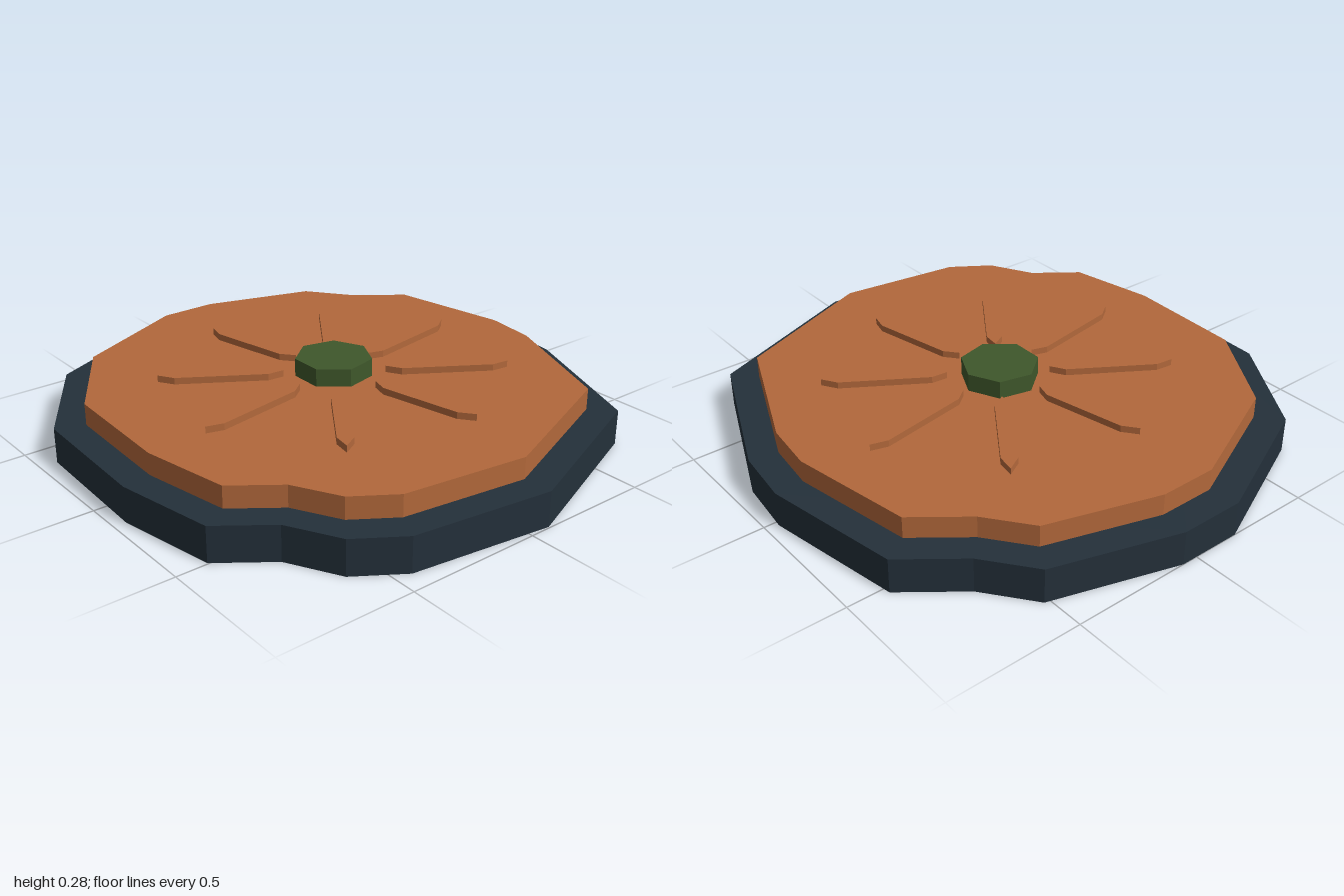
import * as THREE from 'three';

const flat = (name, color) => new THREE.MeshStandardMaterial({ name, color, flatShading: true, side: THREE.DoubleSide });

// Prism with a top and walls but an open underside; outline is a list of [x, z]
function openPrism(outline, bottom, top) {
  const shape = new THREE.Shape(outline.map(([x, z]) => new THREE.Vector2(x, -z)));
  const full = new THREE.ExtrudeGeometry(shape, { depth: top - bottom, bevelEnabled: false });
  const p = full.attributes.position.array;
  const kept = [];
  for (let i = 0; i < p.length; i += 9) {
    if (p[i + 2] + p[i + 5] + p[i + 8] > 1e-6) kept.push(...p.slice(i, i + 9));
  }
  const geo = new THREE.BufferGeometry();
  geo.setAttribute('position', new THREE.Float32BufferAttribute(kept, 3));
  geo.rotateX(-Math.PI / 2);
  geo.translate(0, bottom, 0);
  geo.computeVertexNormals();
  return geo;
}

export function createModel() {
  const model = new THREE.Group();
  const slate = flat('dark slate', 0x24303a);
  const clay = flat('orange clay', 0xb2683b);
  const green = flat('leaf green', 0x3f572b);

  const add = (name, geometry, material) => {
    const mesh = new THREE.Mesh(geometry, material);
    mesh.name = name;
    model.add(mesh);
    return mesh;
  };

  // Irregular outline shared by the base and the smaller slab
  const rim = [
    [-0.18, -1], [0.06, -1], [0.52, -0.86], [0.655, -0.685], [0.86, -0.525], [0.955, -0.02],
    [0.93, 0.2], [0.705, 0.745], [0.08, 0.995], [-0.44, 0.925], [-0.605, 0.815], [-0.705, 0.63],
    [-0.885, 0.495], [-0.955, 0.13], [-0.935, -0.38], [-0.68, -0.775],
  ];
  add('base', openPrism(rim, 0, 0.13), slate);

  // The slab sinks part way into the hollow base
  const slab = rim.map(([x, z]) => [x * 0.889, z * 0.892]);
  add('slab', openPrism(slab, 0.07, 0.21), clay);

  // Eight raised petals: [bearing in degrees, outer tip radius], each with an opposite twin
  for (const [bearing, tip] of [[80, 0.645], [35.2, 0.622], [-12, 0.615], [-57.5, 0.64]]) {
    const outline = [[0, -0.187], [0.029, -0.243], [0.029, 1 * -(tip - 0.06)],
      [0, -tip], [-0.029, -(tip - 0.06)], [-0.029, -0.243]];
    const geo = openPrism(outline, 0.2, 0.235);
    for (const turn of [0, Math.PI]) {
      const petal = add('petal', geo, clay);
      petal.position.set(0.005, 0, 0.002);
      petal.rotation.y = turn - THREE.MathUtils.degToRad(bearing);
    }
  }

  // Seven-sided centre
  const centre = Array.from({ length: 7 }, (_, i) => {
    const a = (i / 7) * Math.PI * 2;
    return [0.013 + 0.143 * Math.cos(a), -0.015 + 0.143 * Math.sin(a)];
  });
  add('centre', openPrism(centre, 0.2, 0.277), green);

  return model;
}
